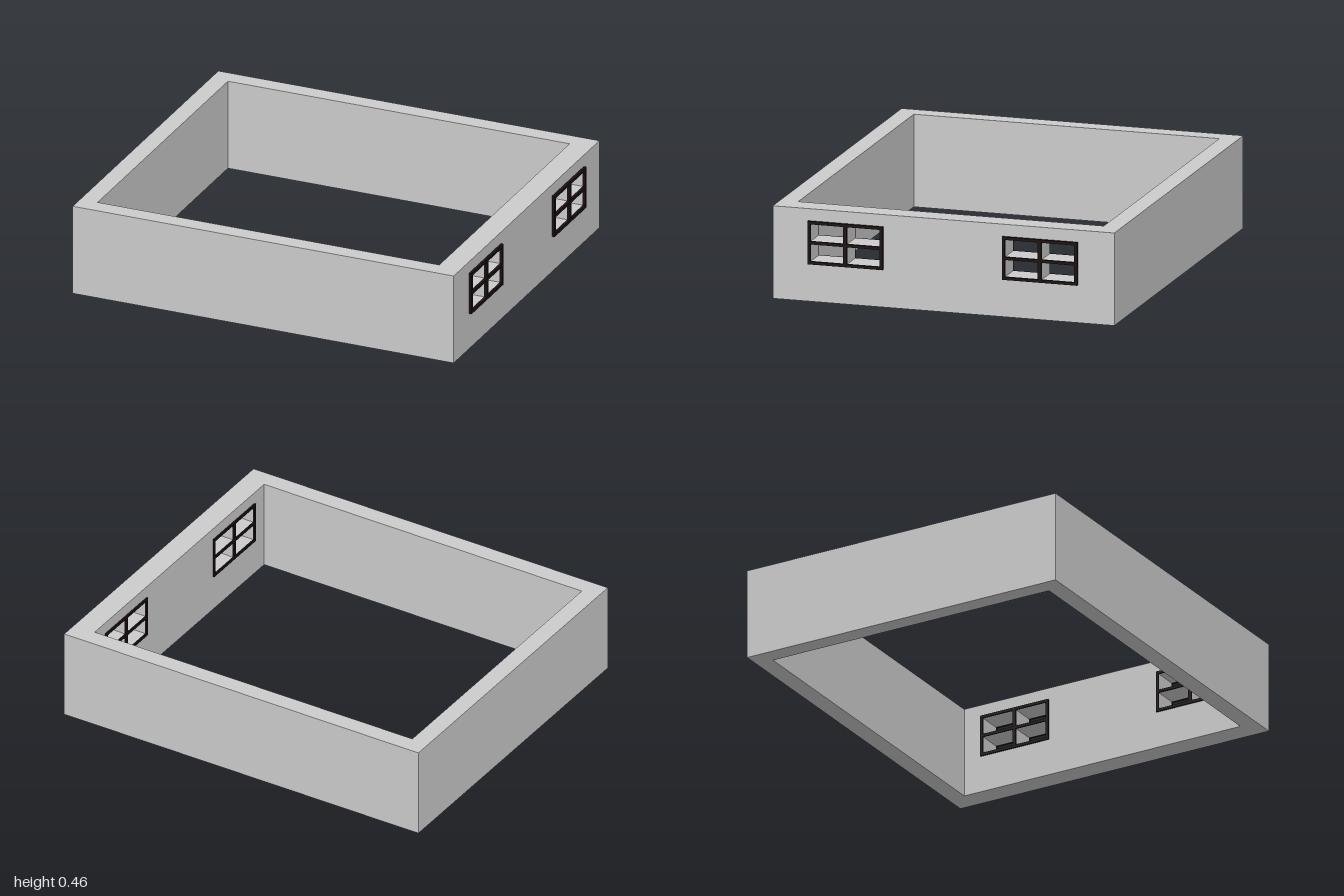
import * as THREE from 'three';

const HEIGHT = 0.455, HALF_Z = 0.855, INNER_Z = 0.765;
const LEFT = -1, LEFT_IN = -0.91, RIGHT_IN = 0.87, RIGHT = 0.985;
// Window outline and bar widths
const WIN_W = 0.376, WIN_Y0 = 0.185, WIN_Y1 = 0.396, BAR = 0.014, POST = 0.018;
const WINDOW_Z = [0.489, -0.485];

const polygon = (pts, Type = THREE.Shape) => new Type(pts.map(p => new THREE.Vector2(...p)));
const rect = (x0, y0, x1, y1, Type) => polygon([[x0, y0], [x1, y0], [x1, y1], [x0, y1]], Type);

// The four pane openings of a window centred on u
function paneHoles(u) {
  const mid = (WIN_Y0 + WIN_Y1) / 2, holes = [];
  for (const s of [-1, 1]) {
    const a = u + s * POST / 2, b = u + s * (WIN_W / 2 - BAR);
    const u0 = Math.min(a, b), u1 = Math.max(a, b);
    holes.push(rect(u0, WIN_Y0 + BAR, u1, mid - BAR / 2, THREE.Path));
    holes.push(rect(u0, mid + BAR / 2, u1, WIN_Y1 - BAR, THREE.Path));
  }
  return holes;
}

const extrude = (shape, depth) => new THREE.ExtrudeGeometry(shape, { depth, bevelEnabled: false });

// Slab drawn in (-z, y) and extruded along x from x0 to x1
const sideSlab = (shape, x0, x1) => extrude(shape, x1 - x0).rotateY(Math.PI / 2).translate(x0, 0, 0);

export function createModel() {
  const model = new THREE.Group();
  const grey = new THREE.MeshStandardMaterial({ color: 0xcccccc });
  const dark = new THREE.MeshStandardMaterial({ color: 0x1a1010 });
  const add = (name, geometry, material) => {
    const mesh = new THREE.Mesh(geometry, material);
    mesh.name = name;
    model.add(mesh);
  };

  // Front, back and blank side walls as one U-shaped plan
  const plan = polygon([
    [LEFT, -HALF_Z], [RIGHT_IN, -HALF_Z], [RIGHT_IN, -INNER_Z], [LEFT_IN, -INNER_Z],
    [LEFT_IN, INNER_Z], [RIGHT_IN, INNER_Z], [RIGHT_IN, HALF_Z], [LEFT, HALF_Z],
  ]);
  add('plainWalls', extrude(plan, HEIGHT).rotateX(-Math.PI / 2), grey);

  // Thicker wall pierced by the window panes
  const wall = rect(-HALF_Z, 0, HALF_Z, HEIGHT);
  for (const z of WINDOW_Z) wall.holes.push(...paneHoles(-z));
  add('windowWall', sideSlab(wall, RIGHT_IN, RIGHT), grey);

  // Dark window bars on the outer and inner faces
  for (const z of WINDOW_Z) {
    const frame = rect(-z - WIN_W / 2, WIN_Y0, -z + WIN_W / 2, WIN_Y1);
    frame.holes.push(...paneHoles(-z));
    add('outerWindowFrame', sideSlab(frame, RIGHT, 1), dark);
    add('innerWindowFrame', sideSlab(frame, RIGHT_IN - 0.008, RIGHT_IN), dark);
  }
  return model;
}
